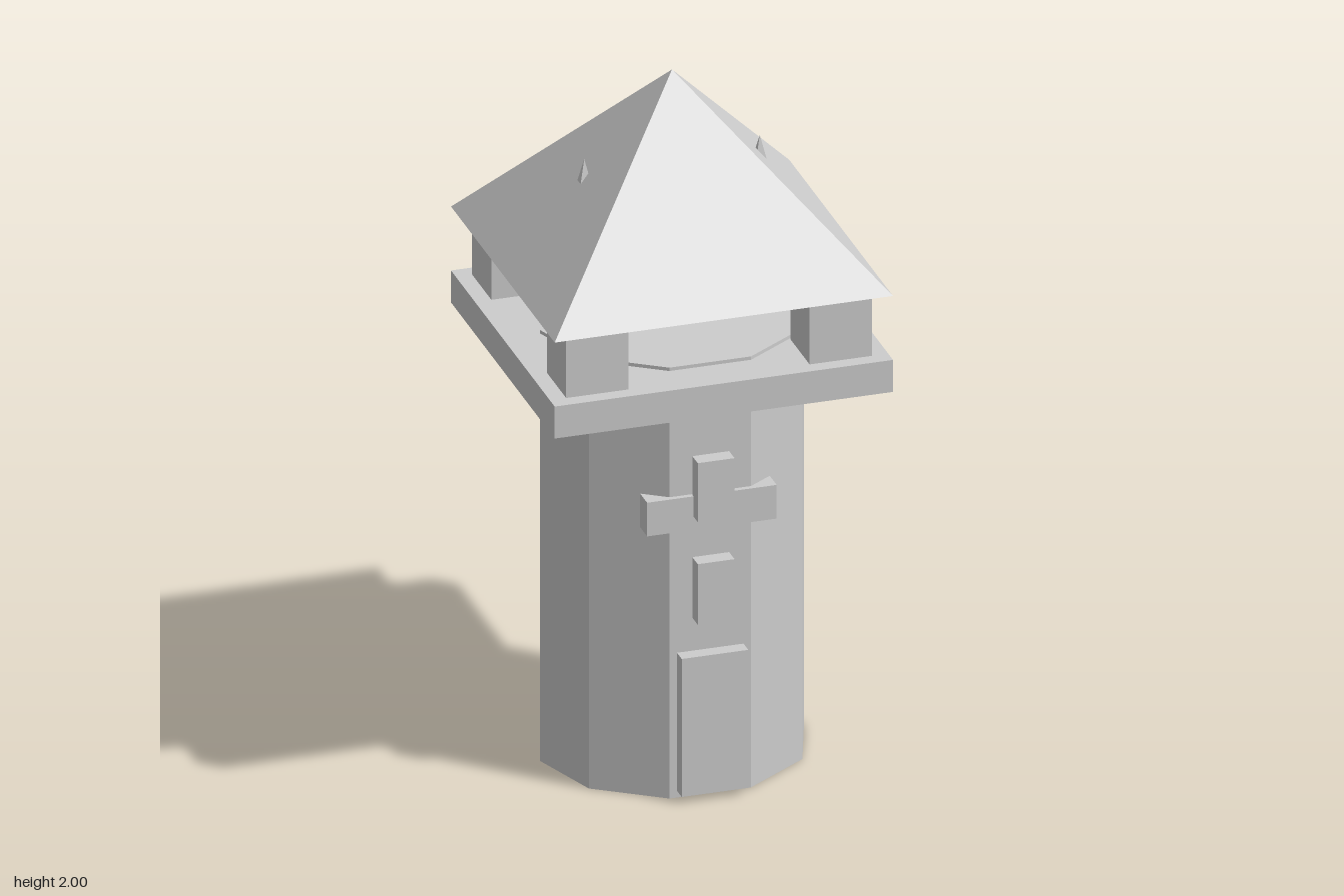
import * as THREE from 'three';

export function createModel() {
  const model = new THREE.Group();
  model.name = 'watchtower';
  const stone = new THREE.MeshStandardMaterial({ color: 0xcccccc, flatShading: true });
  stone.name = 'pale grey stone';

  const add = (name, geometry, x, y, z) => {
    const mesh = new THREE.Mesh(geometry, stone);
    mesh.name = name;
    mesh.position.set(x, y, z);
    model.add(mesh);
    return mesh;
  };
  // Box given by its width, height range and depth range
  const box = (name, x, w, y0, y1, z0, z1) =>
    add(name, new THREE.BoxGeometry(w, y1 - y0, z1 - z0), x, (y0 + y1) / 2, (z0 + z1) / 2);
  // Four-sided pyramid with a rectangular base
  const pyramid = (name, x, halfX, halfZ, y0, y1) => {
    const g = new THREE.ConeGeometry(Math.SQRT2, y1 - y0, 4, 1, false, Math.PI / 4);
    g.scale(halfX, 1, halfZ);
    return add(name, g, x, (y0 + y1) / 2, 0);
  };

  // Ten-sided shaft, slightly shallower than wide, just poking through the platform
  const shaft = new THREE.CylinderGeometry(0.373, 0.373, 1.28, 10, 1, false, Math.PI / 2);
  shaft.scale(1, 1, 0.94);
  add('towerShaft', shaft, 0, 0.64, 0);

  // Platform, corner posts and roof
  box('platform', 0, 0.956, 1.175, 1.27, -0.452, 0.452);
  for (const sx of [-1, 1]) {
    for (const sz of [-1, 1]) {
      const z = sz * 0.326;
      box('cornerPost', sx * 0.344, 0.176, 1.27, 1.46, z - 0.084, z + 0.084);
    }
  }
  pyramid('roof', 0, 0.478, 0.452, 1.46, 2);

  // Slim spikes running through the roof
  for (const sx of [-1, 1]) pyramid('roofSpike', sx * 0.248, 0.073, 0.069, 1.44, 1.77);

  // Front details
  box('door', 0, 0.188, 0.02, 0.43, 0.328, 0.375);
  box('lowerWindow', 0, 0.104, 0.53, 0.71, 0.338, 0.385);
  box('upperWindow', 0, 0.104, 0.835, 1.01, 0.338, 0.385);
  box('crossBar', 0, 0.366, 0.795, 0.895, 0.286, 0.348);

  return model;
}
